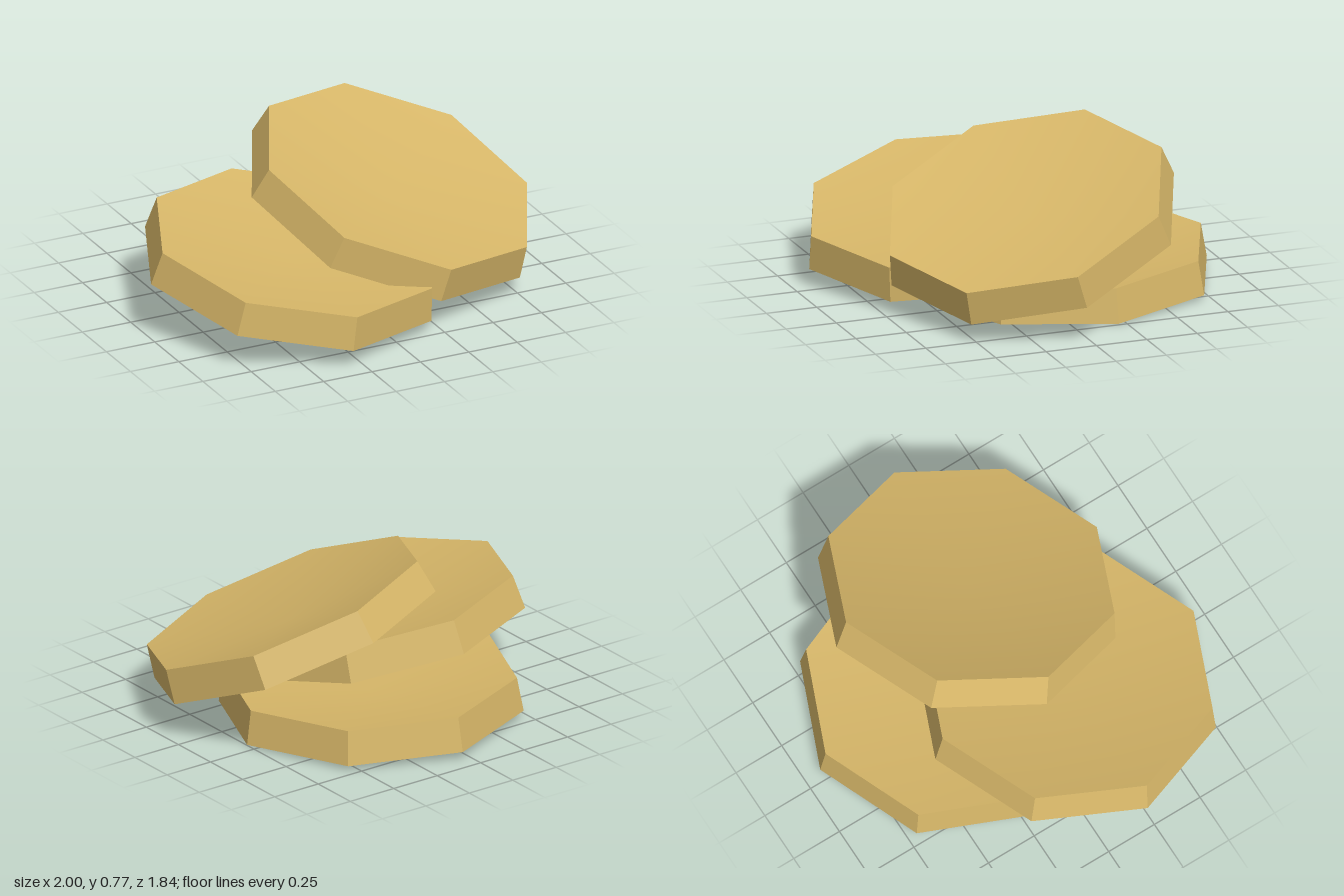
import * as THREE from 'three';
import { toCreasedNormals } from 'three/addons/utils/BufferGeometryUtils.js';

const gold = new THREE.MeshStandardMaterial({ color: 0xd6b668 });
gold.name = 'gold';

const THICKNESS = 0.165;
const DISH_DEPTH = 0.09;

// Tapered octagon whose upper face sinks gently towards its middle.
function discGeometry() {
  const geometry = new THREE.CylinderGeometry(0.687, 0.714, THICKNESS, 8);
  const p = geometry.attributes.position;
  for (let i = 0; i < p.count; i++) {
    const atCentre = Math.hypot(p.getX(i), p.getZ(i)) < 0.01;
    if (atCentre && p.getY(i) > 0) p.setY(i, THICKNESS / 2 - DISH_DEPTH);
  }
  return toCreasedNormals(geometry, 0.5);
}

// top = centre of the upper rim, xAxis = direction of one corner,
// zAxis = direction of the corner nearest the front.
function disc(name, top, xAxis, zAxis) {
  const u = new THREE.Vector3(...xAxis).normalize();
  const n = new THREE.Vector3(...zAxis).cross(u).normalize();
  const w = new THREE.Vector3().crossVectors(u, n);
  const mesh = new THREE.Mesh(discGeometry(), gold);
  mesh.name = name;
  mesh.quaternion.setFromRotationMatrix(new THREE.Matrix4().makeBasis(u, n, w));
  mesh.position.set(...top).addScaledVector(n, -THICKNESS / 2);
  return mesh;
}

export function createModel() {
  const group = new THREE.Group();
  group.name = 'discPile';
  group.add(
    // nearly flat disc on the ground
    disc('bottomDisc', [0.046, 0.185, -0.202], [0.712, -0.013, 0], [0, -0.016, 0.712]),
    // gently tilted disc on the right-hand side
    disc('middleDisc', [-0.272, 0.352, 0.238], [0.677, -0.083, 0], [-0.01, -0.103, 0.675]),
    // steeply tilted disc resting on the others
    disc('topDisc', [0.335, 0.51, 0.093], [0.665, -0.165, 0], [-0.05, -0.2, 0.65])
  );
  return group;
}
